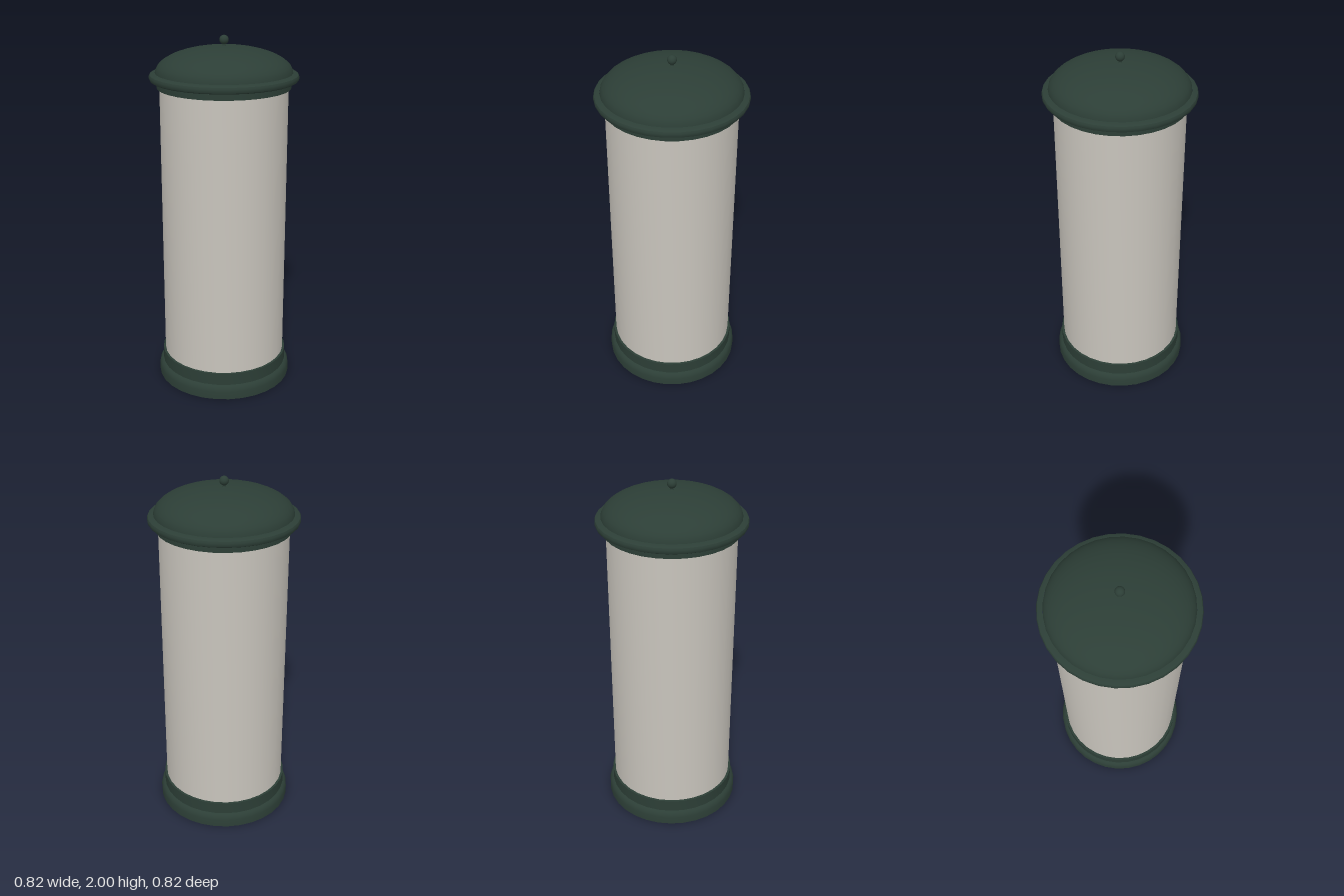
import * as THREE from 'three';
import { toCreasedNormals } from 'three/addons/utils/BufferGeometryUtils.js';

const SEGMENTS = 32;

export function createModel() {
  const group = new THREE.Group();
  const green = new THREE.MeshStandardMaterial({ color: 0x2c3e36 });
  green.name = 'dark green paint';
  const stone = new THREE.MeshStandardMaterial({ color: 0xc8c4bc });
  stone.name = 'pale grey';

  // Turned part from [radius, height] pairs listed bottom to top
  function turned(name, profile, material, segments = SEGMENTS) {
    const points = profile.map(([r, y]) => new THREE.Vector2(r, y));
    const geometry = toCreasedNormals(new THREE.LatheGeometry(points, segments), 0.6);
    const mesh = new THREE.Mesh(geometry, material);
    mesh.name = name;
    group.add(mesh);
  }

  // Plinth with a rounded shoulder and an upper band
  turned('base', [
    [0, 0], [0.388, 0], [0.388, 0.045], [0.384, 0.06], [0.376, 0.073], [0.365, 0.08],
    [0.365, 0.15], [0, 0.15],
  ], green);

  // Plain cylindrical body
  turned('column', [[0.352, 0.15], [0.352, 1.72]], stone);

  // Collar under the roof
  turned('collar', [[0, 1.72], [0.367, 1.72], [0.367, 1.752], [0.36, 1.758], [0.36, 1.77]], green);

  // Projecting rounded rim
  turned('rim', [
    [0.35, 1.758], [0.395, 1.758], [0.404, 1.763], [0.408, 1.772], [0.408, 1.784],
    [0.404, 1.793], [0.395, 1.798], [0.375, 1.802],
  ], green);

  // Shallow elliptical dome
  const dome = [];
  for (let i = 0; i <= 12; i++) {
    const a = (i / 12) * Math.PI / 2;
    dome.push([i === 12 ? 0 : 0.375 * Math.cos(a), 1.8 + 0.142 * Math.sin(a)]);
  }
  turned('dome', dome, green);

  // Finial stem and ball
  turned('finialStem', [[0.016, 1.935], [0.009, 1.945], [0.009, 1.96]], green, 16);
  const ball = new THREE.Mesh(new THREE.SphereGeometry(0.025, 20, 14), green);
  ball.name = 'finialBall';
  ball.position.y = 1.975;
  group.add(ball);

  return group;
}
